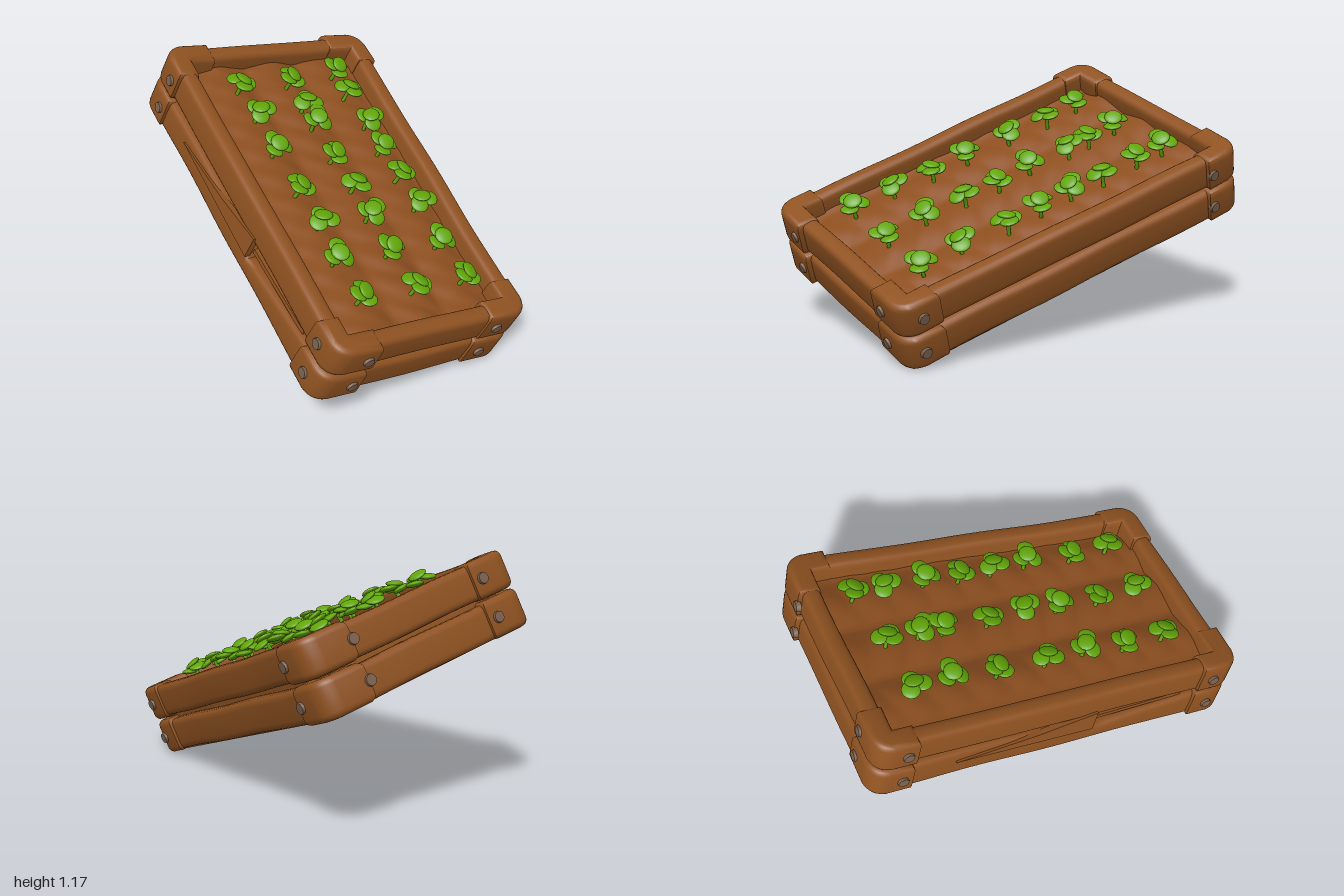
import * as THREE from 'three';
import { toCreasedNormals } from 'three/addons/utils/BufferGeometryUtils.js';

const paint = (name, color, side = THREE.FrontSide) => {
  const m = new THREE.MeshStandardMaterial({ color, side });
  m.name = name;
  return m;
};

const LAYER = 0.18;
// The frame is slightly out of square: corner reach along the length and the width
const reachX = (sx, sz) => 0.957 + 0.013 * sx * sz;
const reachZ = (sx, sz) => (sz > 0 ? 0.608 : 0.574 - 0.038 * sx);

export function createModel() {
  const wood = paint('wood', 0x8f5221);
  const soilMat = paint('soil', 0x8d4f20, THREE.DoubleSide);
  const boltMat = paint('bolt', 0x7b614f);
  const leafMat = paint('leaf', 0x62a608);

  const model = new THREE.Group();
  model.name = 'planter';
  const box = new THREE.Group();
  box.name = 'tiltedPlanterBox';
  model.add(box);

  const add = (parent, name, geometry, material, x = 0, y = 0, z = 0) => {
    const mesh = new THREE.Mesh(geometry, material);
    mesh.name = name;
    mesh.position.set(x, y, z);
    parent.add(mesh);
    return mesh;
  };

  // Plank: rounded section swept along its length, with slightly uneven edges
  const plank = (length, thick, high, seed, split = false) => {
    const w = thick / 2, h = high / 2, r = 0.035;
    const s = new THREE.Shape();
    s.moveTo(-w + r, -h);
    s.lineTo(w - r, -h);
    s.quadraticCurveTo(w, -h, w, -h + r);
    s.lineTo(w, h - r);
    s.quadraticCurveTo(w, h, w - r, h);
    s.lineTo(-w + r, h);
    s.quadraticCurveTo(-w, h, -w, h - r);
    s.lineTo(-w, -h + r);
    s.quadraticCurveTo(-w, -h, -w + r, -h);
    const g = new THREE.ExtrudeGeometry(s, { depth: length, steps: 24, bevelEnabled: false, curveSegments: 4 });
    g.translate(0, 0, -length / 2);
    const p = g.attributes.position;
    for (let i = 0; i < p.count; i++) {
      const z = p.getZ(i), y = p.getY(i);
      let dy = 0.002 * Math.sin(z * 9 + seed);
      // splintered gap along one stretch of the upper edge
      if (split && y > 0 && z > 0.15 && z < 0.72) dy -= 0.075 * (0.72 - z) / 0.57 + 0.005;
      p.setY(i, y + dy);
      p.setX(i, p.getX(i) + 0.002 * Math.sin(z * 7 + seed * 2));
    }
    return toCreasedNormals(g, 0.8);
  };

  // Corner cap: L-shaped block wrapping the ends of two planks
  const cornerCap = (sx, sz) => {
    const X = reachX(sx, sz), Z = reachZ(sx, sz), r = 0.09, t = 0.115;
    const pt = (x, z) => [sx * x, -sz * z];
    const s = new THREE.Shape();
    s.moveTo(...pt(X - 0.21, Z));
    s.lineTo(...pt(X - r, Z));
    s.quadraticCurveTo(...pt(X - 0.012, Z - 0.012), ...pt(X, Z - r));
    s.lineTo(...pt(X, Z - 0.25));
    s.lineTo(...pt(X - t, Z - 0.25));
    s.lineTo(...pt(X - t, Z - t));
    s.lineTo(...pt(X - 0.21, Z - t));
    s.closePath();
    const g = new THREE.ExtrudeGeometry(s, {
      depth: LAYER - 0.064, bevelThickness: 0.032, bevelSize: 0.028, bevelOffset: -0.028,
      bevelSegments: 4, curveSegments: 8,
    });
    g.translate(0, 0, -(LAYER - 0.064) / 2);
    g.rotateX(-Math.PI / 2);
    return toCreasedNormals(g, 0.9);
  };

  // Two stacked layers of planks, caps and bolts
  const boltGeo = new THREE.CylinderGeometry(0.026, 0.03, 0.024, 10);
  for (const level of [-1, 1]) {
    const layer = new THREE.Group();
    layer.name = level > 0 ? 'upperFrame' : 'lowerFrame';
    layer.position.y = level * 0.094;
    box.add(layer);
    for (const side of [-1, 1]) {
      const seed = level * 2 + side;
      const longZ = side * (reachZ(0, side) - 0.063);
      const long = add(layer, side > 0 ? 'frontPlank' : 'backPlank',
        plank(1.66, 0.09, 0.166, seed, level < 0 && side > 0).rotateY(Math.PI / 2),
        wood, 0, -0.003, longZ);
      if (side < 0) long.rotation.y = -0.045;
      const end = add(layer, side > 0 ? 'leftPlank' : 'rightPlank', plank(0.96, 0.09, 0.166, seed + 5),
        wood, side * (reachX(0, 0) - 0.063), -0.003, side > 0 ? 0.036 : 0);
      end.rotation.y = 0.022;
      for (const sz of [-1, 1]) {
        add(layer, 'cornerCap', cornerCap(side, sz), wood);
        const boltX = side > 0 ? 0.84 - 0.01 * level : -0.785;
        const longBolt = add(layer, 'sideBolt', boltGeo, boltMat, boltX, 0, sz * reachZ(side, sz));
        longBolt.rotation.x = sz * Math.PI / 2;
        const endBolt = add(layer, 'endBolt', boltGeo, boltMat,
          side * reachX(side, sz), 0, sz > 0 ? 0.41 : -0.36);
        endBolt.rotation.z = -side * Math.PI / 2;
      }
    }
  }

  // Core filling the frame, and a flush underside
  add(box, 'core', new THREE.BoxGeometry(1.74, 0.22, 0.97), wood, 0, -0.06, 0.02);
  const floor = new THREE.Shape([[-0.91, 0.575], [-0.91, -0.56], [0.91, -0.56], [0.91, 0.5]]
    .map(([x, y]) => new THREE.Vector2(x, y)));
  add(box, 'underside', new THREE.ExtrudeGeometry(floor, { depth: 0.03, bevelEnabled: false })
    .rotateX(-Math.PI / 2), wood, 0, -0.18, 0);

  // Splinter peeling off the front boards, with a loose slat in the gap
  const splinter = new THREE.Shape([[-0.52, -0.07], [0.2, -0.08], [0.2, 0.045], [-0.1, -0.015]]
    .map(([x, y]) => new THREE.Vector2(x, y)));
  add(box, 'splinter', new THREE.ExtrudeGeometry(splinter, { depth: 0.03, bevelEnabled: false }),
    wood, 0, 0, 0.57);
  add(box, 'splitSlat', new THREE.BoxGeometry(0.5, 0.022, 0.03), wood, 0.45, -0.03, 0.55).rotation.z = 0.05;

  // Tilled soil: three long ridges broken into clods
  const soil = new THREE.PlaneGeometry(1.76, 1.06, 110, 48).rotateX(-Math.PI / 2);
  const sp = soil.attributes.position;
  for (let i = 0; i < sp.count; i++) {
    const x = sp.getX(i), z = sp.getZ(i);
    const ridge = 0.5 + 0.5 * Math.cos(z * Math.PI * 2 / 0.305);
    const clod = Math.abs(Math.sin(x * 17 + Math.sin(z * 9) * 0.8));
    sp.setY(i, 0.077 + 0.022 * Math.sqrt(ridge) + 0.01 * clod * ridge + 0.002 * Math.sin(x * 41 + z * 33));
    if (z < 0) sp.setZ(i, z * (1 - 0.07 * x));
  }
  soil.computeVertexNormals();
  add(box, 'soilBed', soil, soilMat);

  // Seedlings: bent stem with a crown of three broad lobes and a middle leaf
  const stemGeo = new THREE.TubeGeometry(new THREE.CatmullRomCurve3([
    new THREE.Vector3(0, 0, 0), new THREE.Vector3(0.006, 0.05, 0), new THREE.Vector3(0, 0.11, 0),
  ]), 6, 0.01, 6);
  const leafGeo = new THREE.SphereGeometry(1, 14, 10);
  const rows = [
    [-0.305, [-0.714, -0.555, -0.339, -0.164, 0.021, 0.215, 0.456, 0.675]],
    [0.003, [-0.664, -0.49, -0.37, -0.145, 0.057, 0.242, 0.456, 0.682]],
    [0.306, [-0.648, -0.452, -0.226, 0.031, 0.246, 0.453, 0.677]],
  ];
  rows.forEach(([z, xs], row) => xs.forEach((x, i) => {
    const plant = new THREE.Group();
    plant.name = 'seedling';
    plant.position.set(x, 0.082, z + 0.02 * x + 0.01 * Math.sin(i * 2.3 + row));
    plant.rotation.y = i * 1.9 + row * 0.8;
    box.add(plant);
    add(plant, 'stem', stemGeo, leafMat);
    for (let k = 0; k < 4; k++) {
      const angle = k * Math.PI * 2 / 3 + 0.15 * k;
      const reach = k === 3 ? 0.008 : 0.038;
      const leaf = add(plant, 'leaf', leafGeo, leafMat,
        Math.cos(angle) * reach, 0.098 + 0.011 * k, -Math.sin(angle) * reach);
      leaf.scale.set(0.043, 0.014, 0.046);
      leaf.rotation.set(0, angle, k % 2 ? -0.35 : 0.2);
    }
  }));

  // The whole box leans down to one side
  const u = new THREE.Vector3(1, -0.34, 0.242).normalize();
  const w = new THREE.Vector3(-0.15, 0.268, 1);
  w.addScaledVector(u, -w.dot(u)).normalize();
  const n = new THREE.Vector3().crossVectors(w, u);
  box.quaternion.setFromRotationMatrix(new THREE.Matrix4().makeBasis(u, n, w));
  box.position.y = 0.583;
  return model;
}
